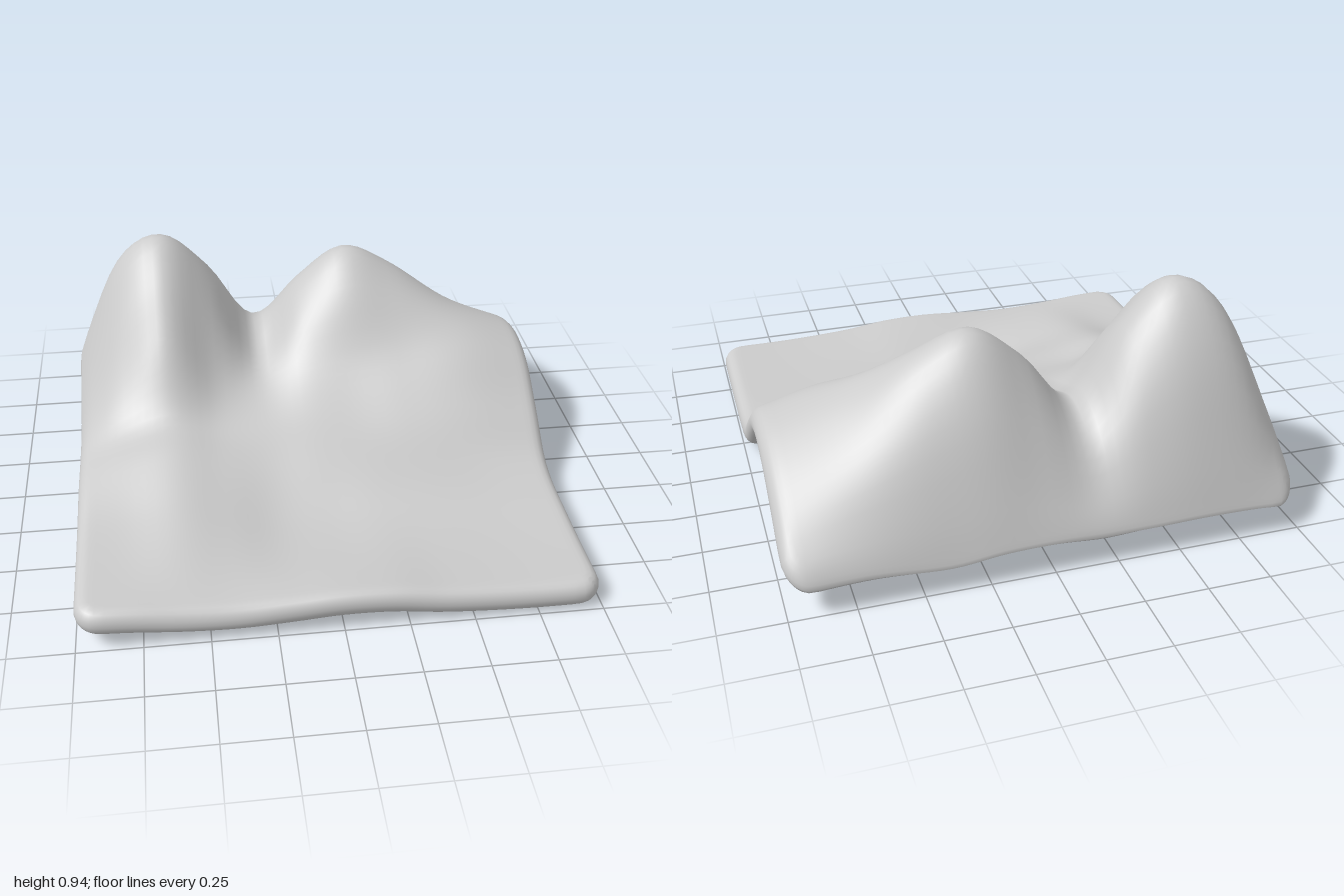
import * as THREE from 'three';
import { mergeVertices } from 'three/addons/utils/BufferGeometryUtils.js';

const THICK = 0.11;     // slab thickness
const RIM = 0.05;       // depth of the rounded rim
const CORNER = 0.1;     // corner radius in plan

// Height sections running back to front, one per x station
const zKnots = [-1, -0.8, -0.6, -0.4, -0.2, 0, 0.2, 0.5, 1];
const xKnots = [-1, -0.8, -0.6, -0.4, -0.2, 0, 0.2, 0.4, 0.7, 1];
const sections = [
  [0.14, 0.28, 0.35, 0.28, 0.205, 0.205, 0.21, 0.18, 0.16],
  [0.14, 0.62, 0.80, 0.69, 0.47, 0.31, 0.27, 0.19, 0.15],
  [0.14, 0.69, 0.925, 0.84, 0.62, 0.365, 0.31, 0.22, 0.13],
  [0.14, 0.57, 0.76, 0.66, 0.44, 0.31, 0.27, 0.18, 0.125],
  [0.15, 0.39, 0.48, 0.42, 0.36, 0.295, 0.24, 0.13, 0.14],
  [0.15, 0.50, 0.68, 0.61, 0.43, 0.31, 0.24, 0.12, 0.155],
  [0.14, 0.60, 0.825, 0.72, 0.46, 0.31, 0.23, 0.125, 0.15],
  [0.12, 0.55, 0.745, 0.68, 0.48, 0.32, 0.21, 0.12, 0.125],
  [0.15, 0.41, 0.53, 0.56, 0.49, 0.32, 0.17, 0.11, 0.11],
  [0.15, 0.29, 0.40, 0.45, 0.41, 0.28, 0.14, 0.11, 0.11],
];

// Smooth cubic curve through unevenly spaced values
function smooth(knots, values, t) {
  const last = knots.length - 1;
  let i = 0;
  while (i < last - 1 && t > knots[i + 1]) i++;
  const slope = (k) => {
    const a = Math.max(k - 1, 0), b = Math.min(k + 1, last);
    return (values[b] - values[a]) / (knots[b] - knots[a]);
  };
  const w = knots[i + 1] - knots[i], s = (t - knots[i]) / w;
  const s2 = s * s, s3 = s2 * s;
  return (2 * s3 - 3 * s2 + 1) * values[i] + (s3 - 2 * s2 + s) * w * slope(i)
    + (3 * s2 - 2 * s3) * values[i + 1] + (s3 - s2) * w * slope(i + 1);
}

const height = (x, z) => smooth(xKnots, sections.map((row) => smooth(zKnots, row, z)), x);

// Pull the corners of the square plan into arcs
function roundCorner(u, v) {
  const inner = 1 - CORNER;
  const a = (Math.abs(u) - inner) / CORNER, b = (Math.abs(v) - inner) / CORNER;
  if (a <= 0 || b <= 0) return [u, v];
  const k = CORNER * Math.max(a, b) / Math.hypot(a, b);
  return [Math.sign(u) * (inner + a * k), Math.sign(v) * (inner + b * k)];
}

// Point on the top (side 1) or underside (side -1) of the slab
function slabPoint(u, v, side) {
  const [x, z] = roundCorner(u, v);
  const e = 0.02;
  const n = new THREE.Vector3(
    (height(x - e, z) - height(x + e, z)) / (2 * e), 1,
    (height(x, z - e) - height(x, z + e)) / (2 * e)).normalize();
  n.x *= Math.min(1, (1 - Math.abs(x)) / 0.15);
  n.z *= Math.min(1, (1 - Math.abs(z)) / 0.15);
  const d = Math.min(1, (1 - Math.max(Math.abs(u), Math.abs(v))) / RIM);
  const half = (THICK / 2) * Math.sqrt(1 - (1 - d) ** 2);
  return new THREE.Vector3(x, height(x, z), z).addScaledVector(n, side * half - THICK / 2);
}

function slabGeometry() {
  // Even grid with extra lines along the rounded rim
  const rim = [1, 0.997, 0.99, 0.98, 0.965, 0.945];
  const grid = rim.map((r) => -r);
  for (let i = -23; i <= 23; i++) grid.push(i * 0.04);
  grid.push(...rim.slice().reverse());

  const positions = [], index = [], n = grid.length;
  for (const side of [1, -1]) {
    const base = positions.length / 3;
    for (const u of grid) for (const v of grid) positions.push(...slabPoint(u, v, side).toArray());
    for (let i = 0; i < n - 1; i++) {
      for (let j = 0; j < n - 1; j++) {
        const a = base + i * n + j, b = a + 1, c = a + n, d = c + 1;
        if (side > 0) index.push(a, b, c, b, d, c);
        else index.push(a, c, b, b, c, d);
      }
    }
  }
  let geometry = new THREE.BufferGeometry();
  geometry.setAttribute('position', new THREE.Float32BufferAttribute(positions, 3));
  geometry.setIndex(index);
  geometry = mergeVertices(geometry, 1e-5);
  geometry.computeBoundingBox();
  geometry.translate(0, -geometry.boundingBox.min.y, 0);
  geometry.computeVertexNormals();
  return geometry;
}

export function createModel() {
  const group = new THREE.Group();
  group.name = 'mountainTerrain';
  const terrain = new THREE.Mesh(slabGeometry(), new THREE.MeshStandardMaterial({ color: 0xcccccc }));
  terrain.name = 'terrainSlab';
  group.add(terrain);
  return group;
}
